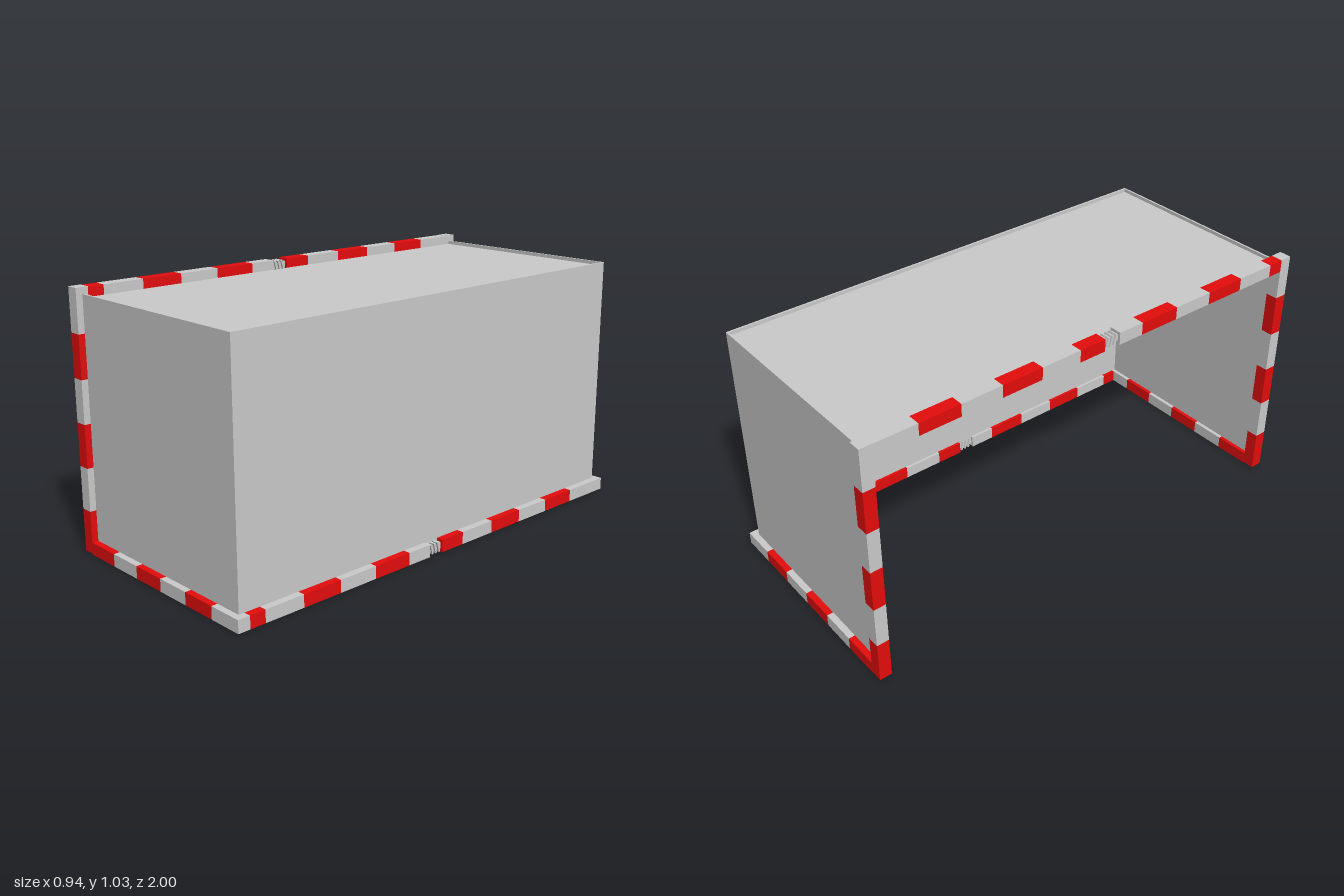
import * as THREE from 'three';

const grey = new THREE.MeshStandardMaterial({ color: 0xcccccc, side: THREE.DoubleSide });
const red = new THREE.MeshStandardMaterial({ color: 0xe60c0c });

// Box given by its lower and upper corners
function box(name, min, max, material = grey) {
  const size = max.map((v, i) => v - min[i]);
  const mesh = new THREE.Mesh(new THREE.BoxGeometry(...size), material);
  mesh.position.set(...min.map((v, i) => (v + max[i]) / 2));
  mesh.name = name;
  return mesh;
}

// Striped rail along one axis (0 x, 1 y, 2 z); stops are the colour changes
function rail(name, axis, min, max, stops, redFirst) {
  const group = new THREE.Group();
  group.name = name;
  for (let i = 0; i < stops.length - 1; i++) {
    const a = [...min], b = [...max];
    a[axis] = stops[i];
    b[axis] = stops[i + 1];
    const isRed = (i % 2 === 0) === redFirst;
    group.add(box(isRed ? 'redStripe' : 'greyStripe', a, b, isRed ? red : grey));
  }
  return group;
}

// Long rail in two halves with a ribbed joint between them
function longRail(name, x, y) {
  const h = 0.025;
  const group = new THREE.Group();
  group.name = name;
  const min = [x - h, y - h, 0], max = [x + h, y + h, 0];
  group.add(rail('backHalf', 2, min, max, [-0.95, -0.777, -0.608, -0.437, -0.266, -0.095, 0.02], false));
  group.add(rail('frontHalf', 2, min, max, [0.09, 0.2, 0.373, 0.545, 0.716, 0.885, 0.95], false));
  group.add(box('jointCore', [x - 0.014, y - 0.014, 0.02], [x + 0.014, y + 0.014, 0.09]));
  for (let i = 0; i < 3; i++) {
    const rib = box('jointRib', [x - 0.021, y - 0.021, -0.004], [x + 0.021, y + 0.021, 0.004]);
    rib.position.z = 0.037 + i * 0.018;
    rib.rotation.x = 0.25;
    group.add(rib);
  }
  return group;
}

export function createModel() {
  const model = new THREE.Group();
  model.name = 'openCover';

  // Thin cover panels: roof slightly below the wall tops
  model.add(box('roofPanel', [-0.425, 0.978, -0.967], [0.432, 0.986, 0.967]));
  model.add(box('sidePanel', [0.432, 0.02, -0.974], [0.44, 1, 0.974]));

  const postStops = Array.from({ length: 7 }, (_, i) => 0.004 + i * 0.1702);
  const endStops = [-0.425, -0.275, -0.125, 0.025, 0.175, 0.325, 0.42];
  for (const s of [1, -1]) {
    const end = s > 0 ? 'front' : 'back';
    const span = (a, b) => (s > 0 ? [a, b] : [-b, -a]);
    const [p0, p1] = span(0.966, 0.974);
    const [z0, z1] = span(0.95, 1);
    model.add(box(end + 'Panel', [-0.425, 0.02, p0], [0.432, 1, p1]));
    // Striped post and bottom rail at each end
    model.add(rail(end + 'Post', 1, [-0.475, 0, z0], [-0.425, 0, z1], postStops, true));
    model.add(rail(end + 'BottomRail', 0, [0, 0, z0], [0, 0.05, z1], endStops, true));
    model.add(box(end + 'Corner', [0.42, 0, z0], [0.47, 0.05, z1]));
  }

  // Striped rails along the length
  model.add(longRail('topRail', -0.45, 0.999));
  model.add(longRail('sideBottomRail', 0.445, 0.025));
  return model;
}
